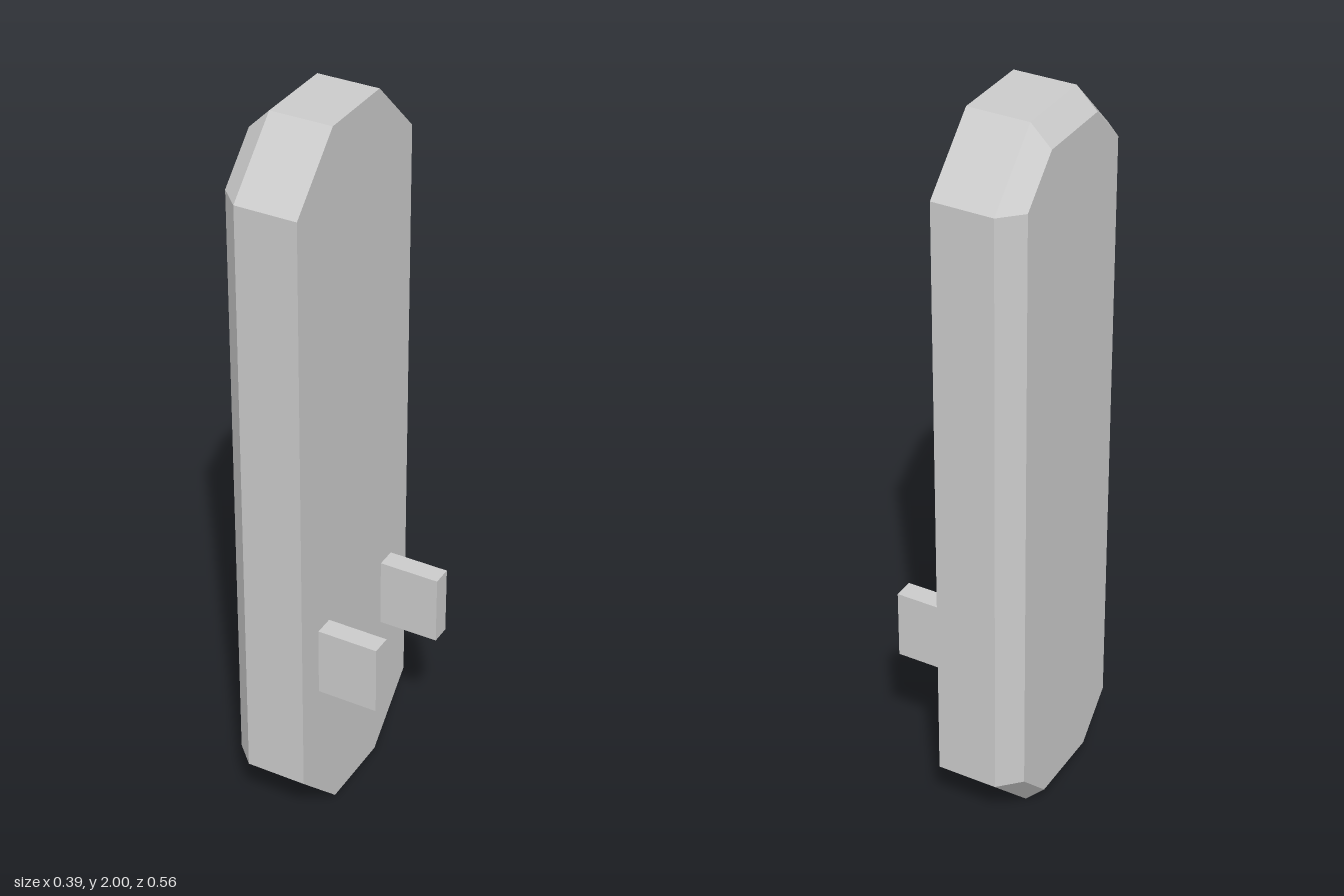
import * as THREE from 'three';

const U = 1 / 18; // grid unit shared by every dimension

// Octagon section in the y/z plane, counter-clockwise seen from +x
function section(x, halfWidth, halfHeight) {
  const w = 2 * U, h = 15 * U; // where the corner cuts begin
  return [
    [halfWidth, -h], [halfWidth, h], [w, halfHeight], [-w, halfHeight],
    [-halfWidth, h], [-halfWidth, -h], [-w, -halfHeight], [w, -halfHeight],
  ].map(([u, v]) => [x, 1 + v, -u]);
}

// Joins the sections with quads and closes both ends
function loft(sections) {
  const n = sections[0].length, last = (sections.length - 1) * n, index = [];
  for (let s = 0; s < last; s += n) {
    for (let i = 0; i < n; i++) {
      const j = (i + 1) % n;
      index.push(s + i, s + n + i, s + n + j, s + i, s + n + j, s + j);
    }
  }
  for (let i = 1; i < n - 1; i++) {
    index.push(0, i, i + 1, last, last + i + 1, last + i);
  }
  const indexed = new THREE.BufferGeometry();
  indexed.setAttribute('position', new THREE.Float32BufferAttribute(sections.flat(2), 3));
  indexed.setIndex(index);
  const geometry = indexed.toNonIndexed();
  geometry.computeVertexNormals();
  return geometry;
}

export function createModel() {
  const model = new THREE.Group();
  model.name = 'peggedPanel';
  const material = new THREE.MeshStandardMaterial({ color: 0xcccccc, flatShading: true });

  // Long panel with a bevel around its outer face
  const panel = new THREE.Mesh(loft([
    section(0.5 * U, 5 * U, 18 * U),
    section(-2.5 * U, 5 * U, 18 * U),
    section(-3.5 * U, 4 * U, 17 * U),
  ]), material);
  panel.name = 'panel';
  model.add(panel);

  // Pair of pegs on the inner face
  for (const side of [-1, 1]) {
    const peg = new THREE.Mesh(new THREE.BoxGeometry(3 * U, 3.5 * U, U), material);
    peg.position.set(2 * U, 9.3 * U, side * 3 * U);
    peg.name = side > 0 ? 'frontPeg' : 'backPeg';
    model.add(peg);
  }
  return model;
}
